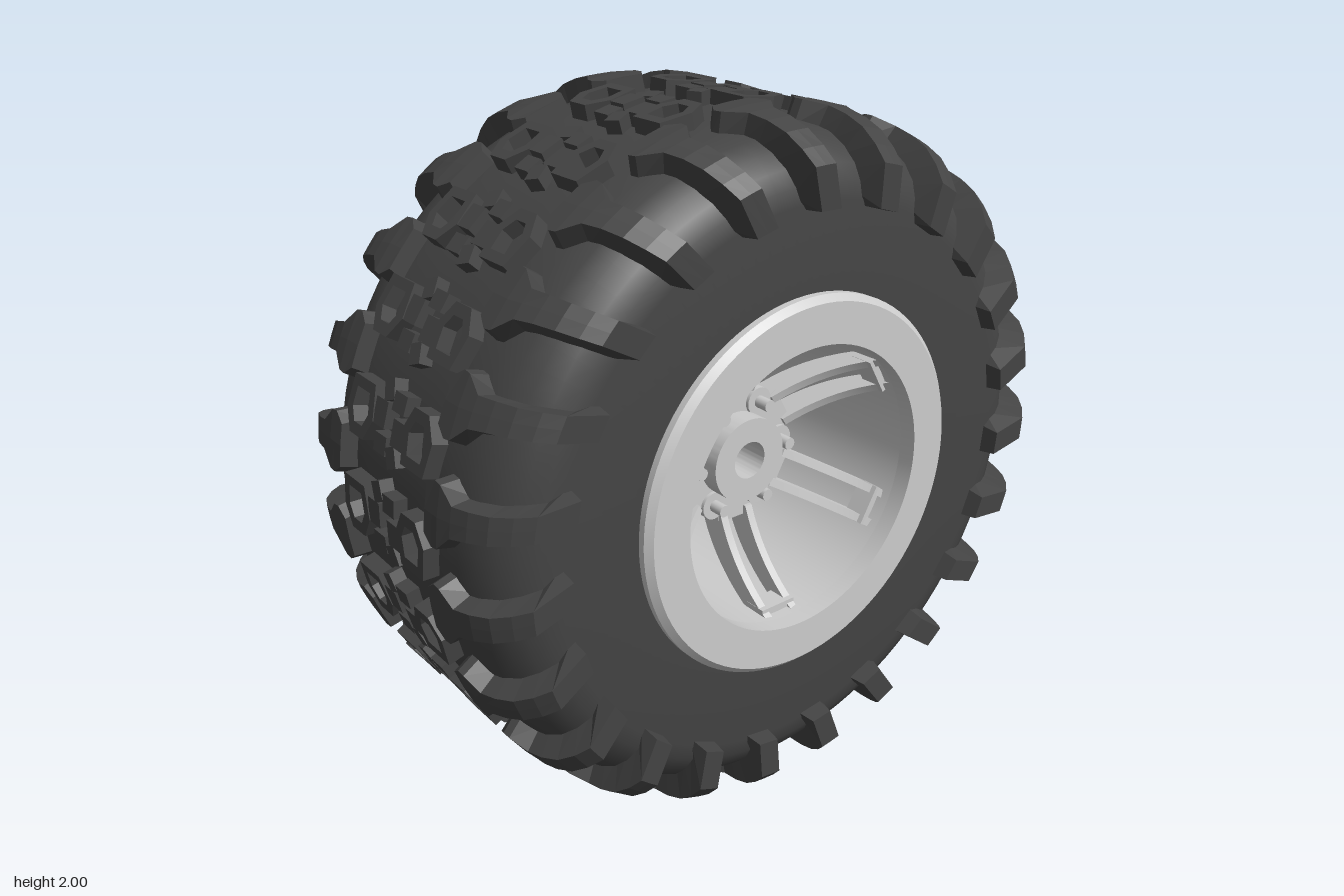
import * as THREE from 'three';
import { toCreasedNormals, mergeGeometries } from 'three/addons/utils/BufferGeometryUtils.js';

const PITCHES = 23;
const DEG = Math.PI / 180;
const rubber = new THREE.MeshStandardMaterial({ color: 0x444444 });
const rubberFlat = new THREE.MeshStandardMaterial({ color: 0x444444, flatShading: true });
const metal = new THREE.MeshStandardMaterial({ color: 0xcccccc });

function add(parent, name, geometry, material) {
  const mesh = new THREE.Mesh(geometry, material);
  mesh.name = name;
  parent.add(mesh);
  return mesh;
}

// Closed (radius, z) profile turned around the z axis
function turned(profile, crease = 0.5) {
  const pts = profile.map(([r, z]) => new THREE.Vector2(r, z));
  const geo = new THREE.LatheGeometry([...pts, pts[0]], 96).rotateX(Math.PI / 2);
  return toCreasedNormals(geo, crease);
}

// Shoulder lug: five-cornered sections swept from the sidewall over to the tread
// Each section: outer r, outer z, inner r, inner z, angle, half width
function shoulderLug() {
  const sections = [
    [0.77, 0.525, 0.765, 0.46, 3.0, 0.034],
    [0.885, 0.525, 0.80, 0.45, 5.0, 0.034],
    [0.925, 0.49, 0.85, 0.43, 5.8, 0.035],
    [0.96, 0.445, 0.88, 0.40, 6.5, 0.036],
    [0.982, 0.39, 0.91, 0.36, 7.0, 0.038],
    [0.994, 0.335, 0.925, 0.32, 7.5, 0.041],
    [1.0, 0.285, 0.935, 0.28, 7.8, 0.082],
    [1.0, 0.26, 0.94, 0.255, 7.8, 0.085],
    [1.0, 0.225, 0.94, 0.222, 7.8, 0.06],
  ];
  const pos = [], index = [];
  const corner = (r, z, a) => pos.push(-r * Math.sin(a), r * Math.cos(a), z);
  sections.forEach(([ro, zo, ri, zi, deg, w], s) => {
    const a = deg * DEG, b = w + 0.008;
    corner(ro, zo, a + w / ro);
    corner(ro, zo, a);
    corner(ro, zo, a - w / ro);
    corner(ri, zi, a - b / ri);
    corner(ri, zi, a + b / ri);
    if (s === 0) return;
    for (let i = 0; i < 5; i++) {
      const j = (i + 1) % 5, p = (s - 1) * 5, q = s * 5;
      index.push(p + i, p + j, q + i, p + j, q + j, q + i);
    }
  });
  const e = (sections.length - 1) * 5;
  for (let i = 1; i < 4; i++) index.push(0, i + 1, i, e, e + i, e + i + 1);
  const geo = new THREE.BufferGeometry();
  geo.setAttribute('position', new THREE.Float32BufferAttribute(pos, 3));
  geo.setIndex(index);
  const flat = geo.toNonIndexed();
  flat.computeVertexNormals();
  return flat;
}

// Six-sided tread block with a pit in its top
function pittedBlock() {
  const outline = [[0.08, -0.035], [0.08, 0.035], [0.02, 0.07], [-0.072, 0.055], [-0.072, -0.055], [0.02, -0.07]]
    .map(([x, y]) => new THREE.Vector2(x, y));
  const shape = new THREE.Shape(outline);
  shape.holes.push(new THREE.Path(outline.map((p) => p.clone().multiplyScalar(0.6)).reverse()));
  return new THREE.ExtrudeGeometry(shape, { depth: 0.055, bevelEnabled: false })
    .rotateX(-Math.PI / 2).translate(0, 0.941, 0.145);
}

// Small stepped blocks that interlock along the centre line
function centreBlocks() {
  const blocks = [
    [0.8, 0.05, 0.07, 0.06, 0],
    [4.6, 0.03, 0.055, 0.045, 0.4],
    [-3.6, 0.03, 0.05, 0.06, 0],
  ];
  return mergeGeometries(blocks.map(([deg, z, length, width, turn]) =>
    new THREE.BoxGeometry(length, 0.07, width).rotateY(turn)
      .translate(0, 0.958, z).rotateZ(deg * DEG)));
}

function buildTyre() {
  const tyre = new THREE.Group();
  tyre.name = 'tyre';
  const half = [[0.46, 0.475], [0.78, 0.475], [0.825, 0.466], [0.868, 0.443], [0.905, 0.405],
    [0.932, 0.355], [0.947, 0.29], [0.953, 0.2], [0.955, 0.1]];
  const back = half.map(([r, z]) => [r, -z]);
  add(tyre, 'carcass', turned([...back, ...half.slice().reverse()]), rubber);

  const lug = shoulderLug(), pitted = pittedBlock(), centre = centreBlocks();
  const tread = new THREE.Group();
  tread.name = 'tread';
  tyre.add(tread);
  for (let i = 0; i < PITCHES; i++) {
    const pitch = new THREE.Group();
    pitch.name = 'treadPitch';
    pitch.rotation.z = 85 * DEG - Math.PI / 2 + (i * 2 * Math.PI) / PITCHES;
    tread.add(pitch);
    // The rear half is the front half turned about the radial axis
    for (const turn of [0, Math.PI]) {
      const side = new THREE.Group();
      side.name = turn ? 'rearTread' : 'frontTread';
      side.rotation.y = turn;
      add(side, 'shoulderLug', lug, rubberFlat);
      add(side, 'pittedBlock', pitted, rubberFlat);
      add(side, 'centreBlocks', centre, rubberFlat);
      pitch.add(side);
    }
  }
  return tyre;
}

function buildWheel() {
  const wheel = new THREE.Group();
  wheel.name = 'wheel';

  // Rim with wide front lip and narrower open rear
  add(wheel, 'rim', turned([
    [0.428, -0.495], [0.465, -0.495], [0.472, -0.485], [0.472, 0.42], [0.543, 0.42],
    [0.543, 0.495], [0.525, 0.513], [0.41, 0.513], [0.41, 0.46], [0.43, 0.45],
    [0.415, -0.38], [0.428, -0.39],
  ]), metal);

  // Fine ribs inside the rear opening
  const ribs = [];
  for (let i = 0; i < 120; i++) {
    ribs.push(new THREE.BoxGeometry(0.01, 0.012, 0.08).translate(0, 0.426, -0.43).rotateZ(i * 3 * DEG));
  }
  add(wheel, 'rearRibs', mergeGeometries(ribs), metal);

  // Hub barrel with raised centre boss and bore
  add(wheel, 'hub', turned([
    [0.055, -0.48], [0.192, -0.48], [0.192, 0.205], [0.125, 0.205], [0.125, 0.27], [0.055, 0.27],
  ]), metal);

  // Curved spoke bar, drawn in radius and z
  const s = new THREE.Shape();
  s.moveTo(0.18, 0.13);
  s.quadraticCurveTo(0.34, 0.18, 0.44, 0.35);
  s.lineTo(0.44, 0.44);
  s.quadraticCurveTo(0.35, 0.28, 0.18, 0.215);
  s.closePath();
  const bar = new THREE.ExtrudeGeometry(s, { depth: 0.024, bevelEnabled: false, curveSegments: 10 });
  bar.applyMatrix4(new THREE.Matrix4().makeBasis(
    new THREE.Vector3(0, 1, 0), new THREE.Vector3(0, 0, 1), new THREE.Vector3(1, 0, 0)));
  const spokeBar = toCreasedNormals(bar, 0.5);
  const outerBridge = new THREE.BoxGeometry(0.12, 0.03, 0.07);
  const innerBridge = new THREE.BoxGeometry(0.12, 0.04, 0.07);
  const boltPad = new THREE.CylinderGeometry(0.042, 0.042, 0.06, 24).rotateX(Math.PI / 2);
  const bolt = new THREE.CylinderGeometry(0.018, 0.018, 0.05, 12).rotateX(Math.PI / 2);

  for (let i = 0; i < 6; i++) {
    const spoke = new THREE.Group();
    spoke.name = 'doubleSpoke';
    spoke.rotation.z = i * 60 * DEG;
    add(spoke, 'leftBar', spokeBar, metal).position.x = 0.035;
    add(spoke, 'rightBar', spokeBar, metal).position.x = -0.059;
    add(spoke, 'outerBridge', outerBridge, metal).position.set(0, 0.422, 0.37);
    add(spoke, 'innerBridge', innerBridge, metal).position.set(0, 0.188, 0.17);
    wheel.add(spoke);
    const x = 0.162 * Math.cos(i * 60 * DEG), y = 0.162 * Math.sin(i * 60 * DEG);
    add(wheel, 'boltPad', boltPad, metal).position.set(x, y, 0.185);
    add(wheel, 'hubBolt', bolt, metal).position.set(x, y, 0.235);
  }
  return wheel;
}

export function createModel() {
  const model = new THREE.Group();
  model.name = 'offRoadWheel';
  const tyre = buildTyre(), wheel = buildWheel();
  tyre.position.y = 1;
  wheel.position.y = 1;
  model.add(tyre, wheel);
  return model;
}
